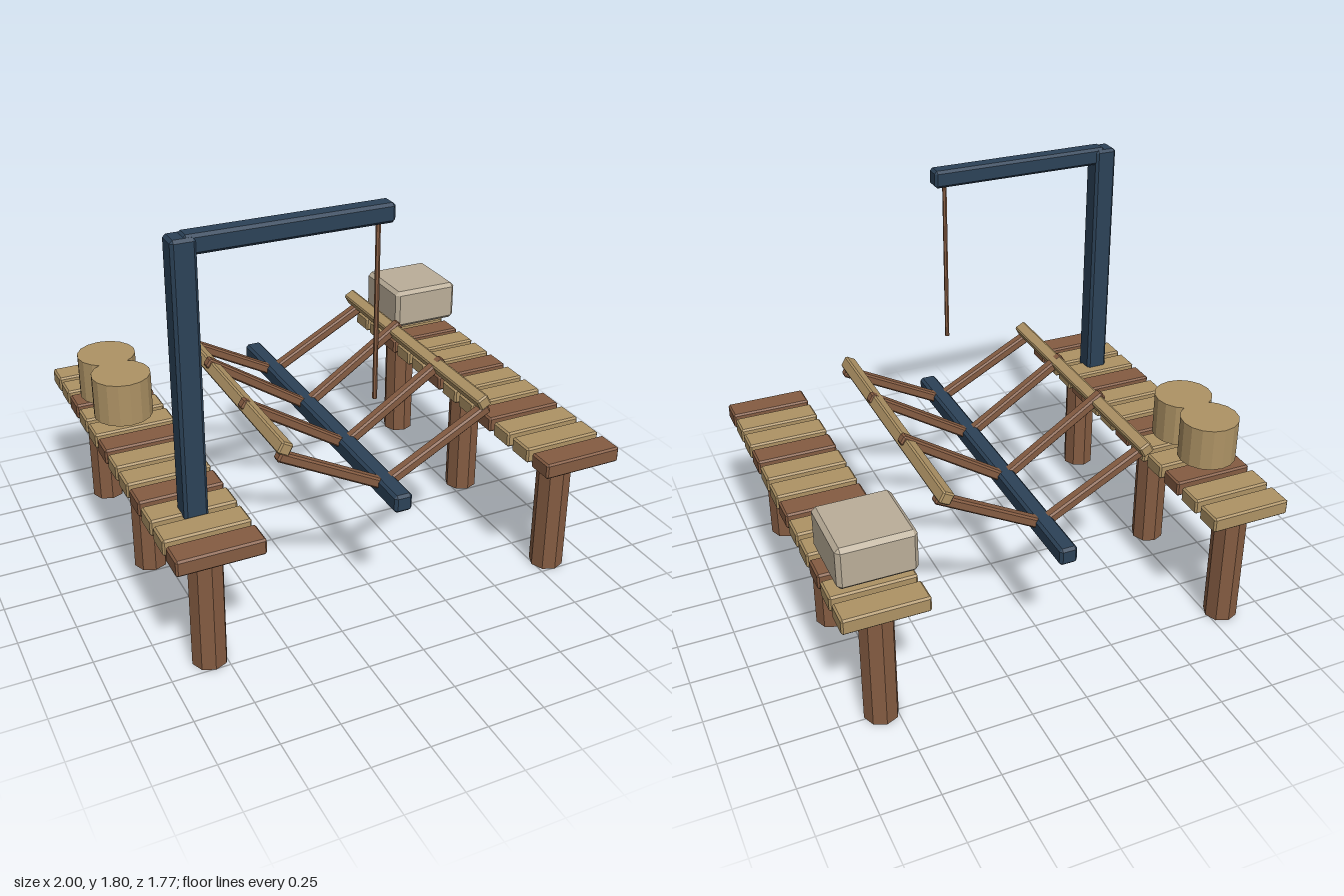
import * as THREE from 'three';
import { ConvexGeometry } from 'three/addons/geometries/ConvexGeometry.js';

const material = (name, color) => {
  const m = new THREE.MeshStandardMaterial({ color, flatShading: true });
  m.name = name;
  return m;
};

// Box with chamfered edges: three corner points per corner
function chamferBox(w, h, d, c = 0.01) {
  const pts = [];
  for (const sx of [-1, 1]) for (const sy of [-1, 1]) for (const sz of [-1, 1]) {
    const x = w / 2, y = h / 2, z = d / 2;
    pts.push(
      new THREE.Vector3(sx * x, sy * (y - c), sz * (z - c)),
      new THREE.Vector3(sx * (x - c), sy * y, sz * (z - c)),
      new THREE.Vector3(sx * (x - c), sy * (y - c), sz * z));
  }
  return new ConvexGeometry(pts);
}

export function createModel() {
  const navy = material('navy paint', 0x2c4258);
  const brown = material('dark timber', 0x855c42);
  const tan = material('light timber', 0xae9365);
  const stone = material('pale crate', 0xbbae99);

  const model = new THREE.Group();
  model.name = 'boatyard';
  const add = (name, geometry, mat, x, y, z, parent = model) => {
    const mesh = new THREE.Mesh(geometry, mat);
    mesh.name = name;
    mesh.position.set(x, y, z);
    parent.add(mesh);
    return mesh;
  };

  // Two plank docks on octagonal posts
  const plankGeo = chamferBox(0.365, 0.07, 0.12, 0.008);
  const postGeo = new THREE.CylinderGeometry(0.075, 0.075, 0.59, 8);
  for (const side of [-1, 1]) {
    const dock = new THREE.Group();
    dock.name = side > 0 ? 'leftDock' : 'rightDock';
    model.add(dock);
    for (let i = 0; i < 12; i++) {
      add('plank', plankGeo, i % 3 === 2 ? brown : tan, side * 0.815, 0.615, -0.83 + i * 0.15, dock);
    }
    for (const z of [-0.74, -0.075, 0.68]) add('post', postGeo, brown, side * 0.815, 0.295, z, dock);
  }

  // Boat frame: keel, ribs and gunwales
  const frame = new THREE.Group();
  frame.name = 'boatFrame';
  model.add(frame);
  add('keel', chamferBox(0.08, 0.08, 1.6, 0.012), navy, 0, 0.588, 0, frame);
  const gunwaleGeo = chamferBox(0.055, 0.055, 1.26, 0.007);
  const ribs = [[-0.54, 0.85], [-0.15, 0.908], [0.255, 0.898], [0.627, 0.845]]; // z, tip height
  for (const side of [-1, 1]) {
    add('gunwale', gunwaleGeo, tan, side * 0.453, 0.875, 0.022, frame).rotation.z = side * 0.5;
    for (const [z, tip] of ribs) {
      const rise = tip - 0.59, run = 0.48;
      const rib = add('rib', chamferBox(Math.hypot(rise, run), 0.045, 0.048, 0.008), brown,
        side * run / 2, 0.59 + rise / 2, z, frame);
      rib.rotation.z = side * Math.atan2(rise, run);
    }
  }

  // Crane with a hanging rope
  const crane = new THREE.Group();
  crane.name = 'crane';
  model.add(crane);
  add('mast', chamferBox(0.1, 1.16, 0.1, 0.012), navy, -0.815, 1.208, 0.562, crane);
  add('arm', chamferBox(0.85, 0.08, 0.08, 0.012), navy, -0.388, 1.757, 0.562, crane);
  add('rope', new THREE.CylinderGeometry(0.01, 0.01, 0.76, 6), brown, -0.02, 1.343, 0.562, crane);

  // Cargo
  const barrelGeo = new THREE.CylinderGeometry(0.13, 0.13, 0.195, 16);
  for (const z of [-0.48, -0.258]) add('barrel', barrelGeo, tan, -0.84, 0.782, z);
  add('crate', chamferBox(0.33, 0.19, 0.33, 0.018), stone, 0.81, 0.81, -0.637);

  return model;
}
